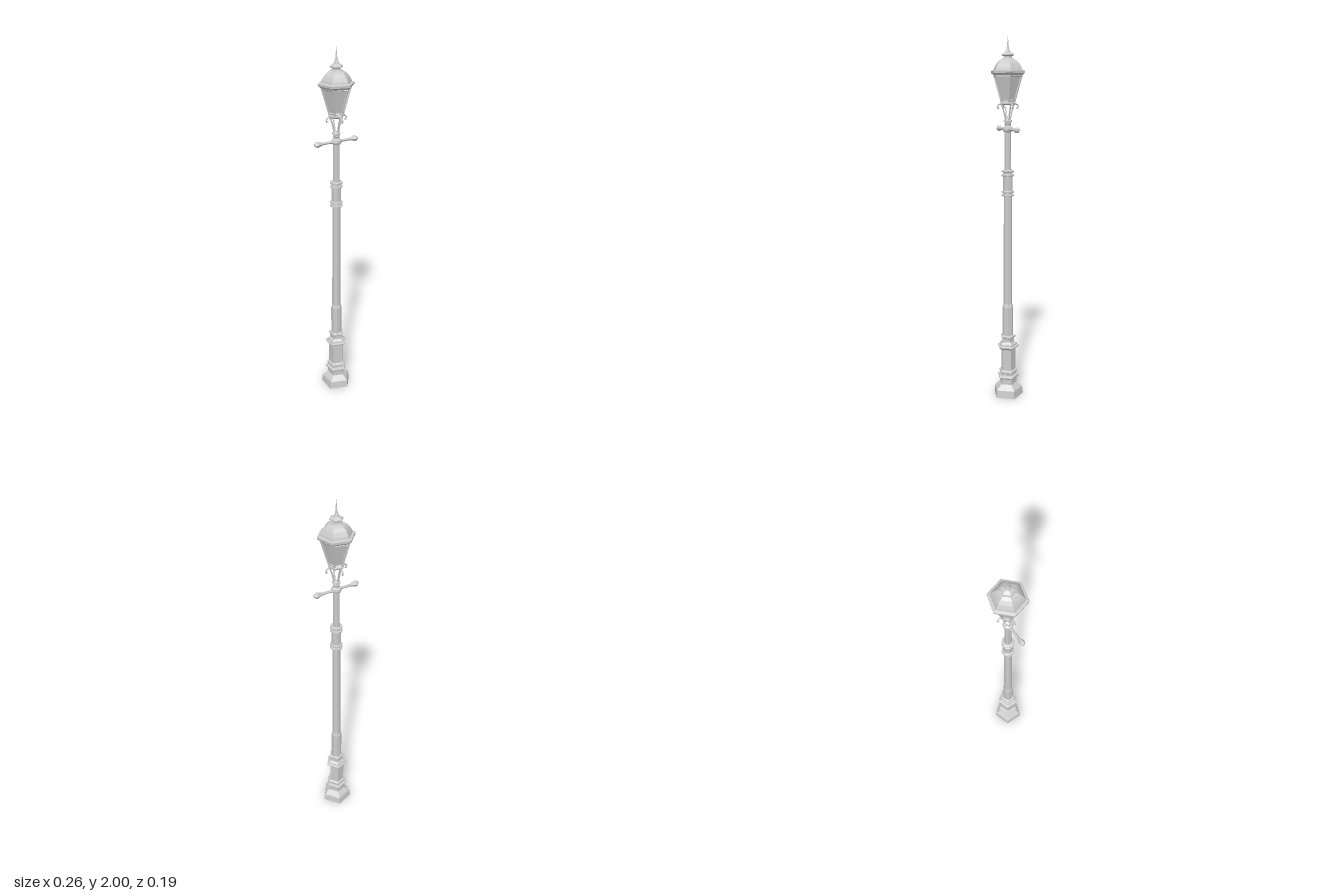
import * as THREE from 'three';

const material = new THREE.MeshStandardMaterial({ color: 0xcccccc, flatShading: true, side: THREE.DoubleSide });
const HEX_TURN = THREE.MathUtils.degToRad(15);
const PENT_TURN = THREE.MathUtils.degToRad(18);

function add(parent, name, geometry) {
  const mesh = new THREE.Mesh(geometry, material);
  mesh.name = name;
  parent.add(mesh);
  return mesh;
}

// Faceted turned part from [radius, height] pairs, bottom to top
function turned(parent, name, sides, turn, profile) {
  const points = profile.map(([r, y]) => new THREE.Vector2(r, y));
  return add(parent, name, new THREE.LatheGeometry(points, sides, turn, Math.PI * 2));
}

// Straight bar between two points
function bar(parent, name, a, b, radius, sides = 4) {
  const dir = b.clone().sub(a);
  const mesh = add(parent, name, new THREE.CylinderGeometry(radius, radius, dir.length(), sides));
  mesh.position.copy(a).add(b).multiplyScalar(0.5);
  mesh.quaternion.setFromUnitVectors(new THREE.Vector3(0, 1, 0), dir.normalize());
  return mesh;
}

// Corner of the lantern's hexagon
function corner(i, r, y) {
  const a = HEX_TURN + (i * Math.PI) / 3;
  return new THREE.Vector3(r * Math.sin(a), y, r * Math.cos(a));
}

export function createModel() {
  const model = new THREE.Group();
  model.name = 'streetLamp';

  // Five-sided plinth and pedestal with moulded rings
  turned(model, 'pedestal', 5, PENT_TURN, [
    [0, 0], [0.088, 0], [0.082, 0.042], [0.073, 0.05], [0.054, 0.066], [0.049, 0.07],
    [0.049, 0.1], [0.06, 0.105], [0.064, 0.112], [0.06, 0.12], [0.047, 0.123],
    [0.047, 0.132], [0.054, 0.136], [0.054, 0.146], [0.043, 0.152],
    [0.043, 0.275], [0.056, 0.282], [0.064, 0.288], [0.064, 0.294], [0.052, 0.298],
    [0.052, 0.305], [0.042, 0.312], [0.036, 0.318], [0.036, 0.338],
    [0.044, 0.343], [0.044, 0.352], [0.032, 0.357], [0, 0.357],
  ]);

  // Shaft in three steps
  turned(model, 'shaft', 8, Math.PI / 8, [
    [0.03, 0.35], [0.03, 0.52], [0.024, 0.54], [0.022, 1.15], [0.026, 1.155],
    [0.026, 1.28], [0.018, 1.285], [0.017, 1.51], [0.014, 1.56], [0, 1.56],
  ]);

  // Pairs of collars on the shaft
  for (const y of [1.153, 1.172, 1.262, 1.284]) {
    turned(model, 'shaftCollar', 8, Math.PI / 8, [
      [0.022, y - 0.008], [0.034, y - 0.004], [0.034, y + 0.004], [0.022, y + 0.008],
    ]);
  }

  // Ladder rest with flared ends
  turned(model, 'ladderRestHub', 8, Math.PI / 8, [
    [0.016, 1.494], [0.026, 1.5], [0.028, 1.51], [0.026, 1.52], [0.016, 1.526],
  ]);
  for (const side of [-1, 1]) {
    const arm = turned(model, side > 0 ? 'leftLadderArm' : 'rightLadderArm', 6, 0, [
      [0.01, 0.015], [0.007, 0.04], [0.0075, 0.085], [0.0165, 0.113], [0.0155, 0.119], [0.008, 0.13], [0, 0.13],
    ]);
    arm.position.y = 1.51;
    arm.rotation.z = -side * Math.PI / 2;
  }

  // Neck rings under the lantern
  turned(model, 'neck', 8, Math.PI / 8, [
    [0.014, 1.53], [0.018, 1.538], [0.018, 1.543], [0.014, 1.546],
    [0.022, 1.55], [0.022, 1.557], [0.01, 1.563], [0, 1.563],
  ]);

  // Four scrolled brackets carrying the lantern
  const scroll = new THREE.CatmullRomCurve3([
    [0.012, 1.555], [0.018, 1.585], [0.028, 1.62], [0.038, 1.642], [0.052, 1.642],
    [0.06, 1.632], [0.057, 1.621], [0.05, 1.623],
  ].map(([x, y]) => new THREE.Vector3(x, y, 0)));
  for (let i = 0; i < 4; i++) {
    add(model, 'scrollBracket', new THREE.TubeGeometry(scroll, 18, 0.0042, 5)).rotation.y = i * Math.PI / 2;
  }

  // Lantern foot
  turned(model, 'lanternFoot', 6, HEX_TURN, [
    [0, 1.638], [0.034, 1.638], [0.043, 1.645], [0.043, 1.652], [0.038, 1.657], [0, 1.657],
  ]);

  // Tapered panes set behind the frame
  turned(model, 'panes', 6, HEX_TURN, [[0.033, 1.655], [0.073, 1.795]]);
  for (let i = 0; i < 6; i++) {
    bar(model, 'cornerBar', corner(i, 0.037, 1.655), corner(i, 0.079, 1.798), 0.0055);
    bar(model, 'lowerRail', corner(i, 0.037, 1.662), corner(i + 1, 0.037, 1.662), 0.005);
    bar(model, 'upperRail', corner(i, 0.076, 1.79), corner(i + 1, 0.076, 1.79), 0.006);
  }

  // Cornice and domed roof
  turned(model, 'roof', 6, HEX_TURN, [
    [0, 1.79], [0.078, 1.79], [0.086, 1.797], [0.096, 1.804], [0.097, 1.816], [0.082, 1.82],
    [0.078, 1.832], [0.066, 1.852], [0.05, 1.868], [0.032, 1.877], [0.03, 1.882], [0, 1.882],
  ]);

  // Vent and pointed finial
  turned(model, 'vent', 6, HEX_TURN, [
    [0.022, 1.876], [0.022, 1.89], [0.035, 1.895], [0.035, 1.901], [0.026, 1.907], [0.016, 1.912], [0, 1.912],
  ]);
  turned(model, 'finial', 6, HEX_TURN, [
    [0.016, 1.91], [0.013, 1.918], [0.007, 1.93], [0.0045, 1.945], [0.003, 1.965], [0, 2],
  ]);

  return model;
}
